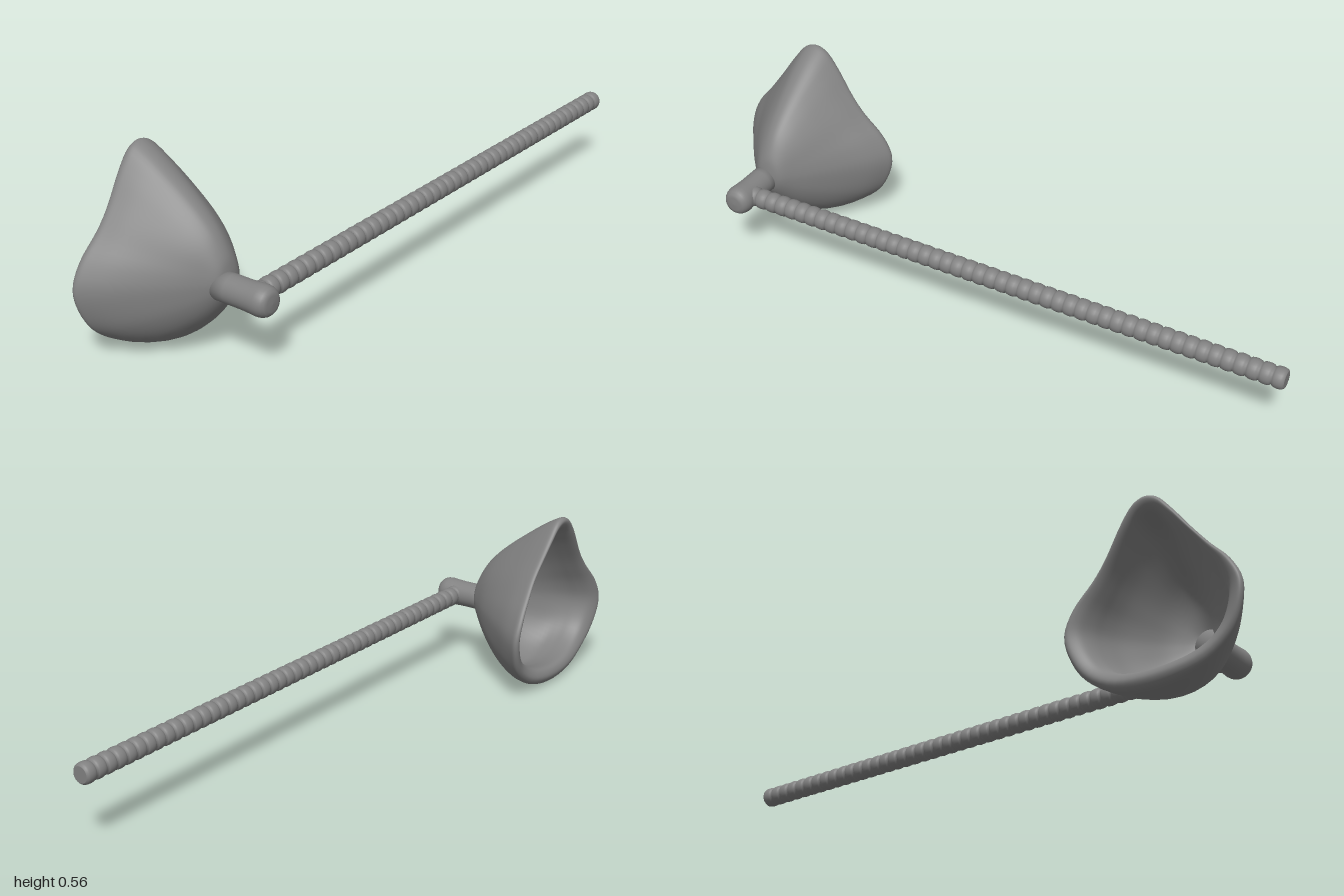
import * as THREE from 'three';

const material = new THREE.MeshStandardMaterial({ color: 0x828282 });

function part(name, geometry) {
  const mesh = new THREE.Mesh(geometry, material);
  mesh.name = name;
  return mesh;
}

// Face cup: a profile runs from the nose, over the outside, around the rolled
// lip and back along the inside; sections go from elliptic to the rim outline
function maskGeometry() {
  const half = [[0, 0.32], [0.035, 0.308], [0.075, 0.262], [0.125, 0.19], [0.178, 0.12],
    [0.237, 0.05], [0.267, -0.02], [0.252, -0.1], [0.215, -0.16], [0.13, -0.217], [0, -0.24]];
  const mirrored = half.slice(1, -1).reverse().map(([x, y]) => [-x, y]);
  const outline = new THREE.CatmullRomCurve3(
    [...half, ...mirrored].map(([x, y]) => new THREE.Vector3(x, y, 0)), true);

  // z, then the scale of the outline towards the top, sides and bottom
  const profile = [
    [0.083, 0, 0, 0], [0.08, 0.09, 0.09, 0.1], [0.07, 0.21, 0.17, 0.24],
    [0.04, 0.375, 0.275, 0.44], [0, 0.515, 0.41, 0.63], [-0.05, 0.65, 0.56, 0.81],
    [-0.1, 0.77, 0.705, 0.93], [-0.15, 0.885, 0.85, 0.99], [-0.19, 0.965, 0.95, 0.99],
    [-0.212, 0.995, 0.995, 0.955], [-0.223, 0.965, 0.965, 0.87], [-0.217, 0.91, 0.9, 0.79],
    [-0.202, 0.87, 0.83, 0.755], [-0.175, 0.84, 0.765, 0.765], [-0.14, 0.8, 0.71, 0.795],
    [-0.1, 0.72, 0.63, 0.81], [-0.05, 0.59, 0.49, 0.73],
    [0, 0.45, 0.34, 0.56], [0.035, 0.3, 0.2, 0.37], [0.06, 0.1, 0.08, 0.12], [0.063, 0, 0, 0],
  ];

  const columns = 80, rows = 84;
  const positions = [], index = [];
  for (let i = 0; i < columns; i++) {
    const p = outline.getPoint(i / columns);
    const angle = Math.atan2(p.y, p.x);
    const c2 = Math.cos(angle) ** 2, s2 = 1 - c2;
    const wave = -0.002 - 0.007 * Math.cos(4 * angle) * (p.y > 0 ? 1 : 1 - 0.7 * s2 * s2);
    const curve = new THREE.SplineCurve(profile.map(([z, up, side, down]) => {
      const vertical = p.y > 0 ? up : down;
      const scale = side * c2 + vertical * s2;
      const height = vertical * (p.y > 0 ? 0.32 : 0.24);
      const ellipse = scale && 1 / Math.sqrt(c2 / (side * 0.267) ** 2 + s2 / height ** 2);
      const radius = THREE.MathUtils.lerp(ellipse, scale * p.length(), scale);
      const nearRim = Math.max(0, (0.08 - z) / 0.3) ** 3;
      return new THREE.Vector2(radius, z + wave * nearRim);
    }));
    for (const q of curve.getPoints(rows)) {
      positions.push(Math.cos(angle) * q.x, Math.sin(angle) * q.x, q.y);
    }
    for (let j = 0; j < rows; j++) {
      const a = i * (rows + 1) + j;
      const d = ((i + 1) % columns) * (rows + 1) + j;
      index.push(a, d, d + 1, a, d + 1, a + 1);
    }
  }
  const geometry = new THREE.BufferGeometry();
  geometry.setAttribute('position', new THREE.Float32BufferAttribute(positions, 3));
  geometry.setIndex(index);
  geometry.computeVertexNormals();
  return geometry;
}

// Hose: a lathe with one rounded bulge per ring, closed flat at both ends
function hoseGeometry(length, rings) {
  const points = [new THREE.Vector2(0, 0), new THREE.Vector2(0.023, 0)];
  const steps = 8;
  for (let k = 0; k <= rings * steps; k++) {
    const bulge = Math.abs(Math.sin(Math.PI * k / steps)) ** 0.45;
    points.push(new THREE.Vector2(0.0245 + 0.0065 * bulge, length * k / (rings * steps)));
  }
  points.push(new THREE.Vector2(0.023, length), new THREE.Vector2(0, length));
  return new THREE.LatheGeometry(points, 28);
}

// Connector: short pipe swelling slightly into a rounded end
function connectorGeometry() {
  const points = [[0, 0.05], [0.0415, 0.05], [0.0415, 0.1], [0.0415, 0.15], [0.043, 0.18],
    [0.0445, 0.2], [0.043, 0.212], [0.039, 0.223], [0.032, 0.231], [0.022, 0.234], [0, 0.235]];
  return new THREE.LatheGeometry(points.map(([r, z]) => new THREE.Vector2(r, z)), 36);
}

export function createModel() {
  const model = new THREE.Group();
  model.name = 'breathingMask';

  const mask = part('faceCup', maskGeometry());
  mask.position.set(-0.734, 0.24, 0);

  const connector = part('connector', connectorGeometry());
  connector.rotation.x = Math.PI / 2;
  connector.position.set(-0.75, 0.225, 0);

  const hose = part('corrugatedHose', hoseGeometry(1.74, 48));
  hose.rotation.z = -Math.PI / 2;
  hose.position.set(-0.74, 0.225, 0.167);

  model.add(mask, connector, hose);
  return model;
}
